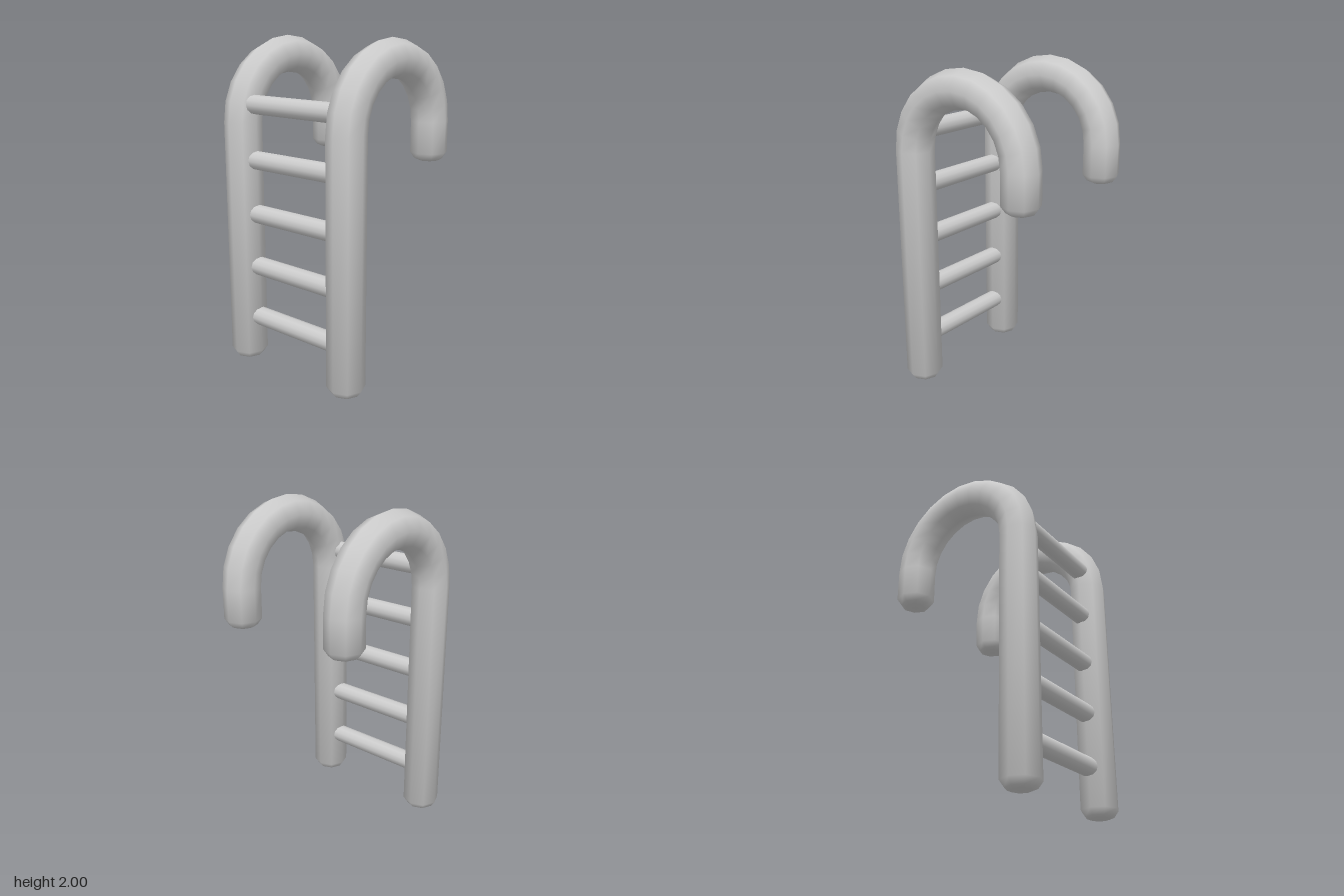
import * as THREE from 'three';
import { toCreasedNormals } from 'three/addons/utils/BufferGeometryUtils.js';

const SIDES = 8, RADIUS = 0.113, BEND = 0.388, BEND_Y = 1.5, RAIL_X = 0.404;
const BACK_END_Y = 1.26;

// Rounded end: [distance from the tip, ring radius]
const END = [[0, 0], [0, 0.058], [0.012, 0.086], [0.05, RADIUS]];

// Hooked rail: octagonal rings swept up, over the bend and down behind
function railGeometry() {
  const rings = [];
  for (const [d, r] of END) rings.push({ y: d, a: 0, r });
  for (let i = 0; i <= 12; i++) {
    const a = (i / 12) * Math.PI;
    rings.push({ y: BEND_Y + BEND * Math.sin(a), a, r: RADIUS });
  }
  for (const [d, r] of [...END].reverse()) rings.push({ y: BACK_END_Y + d, a: Math.PI, r });

  const positions = [], index = [];
  rings.forEach(({ y, a, r }, i) => {
    for (let j = 0; j < SIDES; j++) {
      const t = (j / SIDES) * Math.PI * 2;
      const out = r * Math.sin(t);
      positions.push(r * Math.cos(t), y + out * Math.sin(a), (BEND + out) * Math.cos(a));
      if (i === rings.length - 1) continue;
      const k = (j + 1) % SIDES;
      const p = i * SIDES + j, q = i * SIDES + k;
      if (r > 0) index.push(p, p + SIDES, q);
      if (rings[i + 1].r > 0) index.push(q, p + SIDES, q + SIDES);
    }
  });
  const geometry = new THREE.BufferGeometry();
  geometry.setAttribute('position', new THREE.Float32BufferAttribute(positions, 3));
  geometry.setIndex(index);
  return toCreasedNormals(geometry, 0.95);
}

export function createModel() {
  const group = new THREE.Group();
  group.name = 'poolLadder';
  const material = new THREE.MeshStandardMaterial({ color: 0xcccccc });

  // Pair of hooked rails
  const railGeo = railGeometry();
  for (const side of [-1, 1]) {
    const rail = new THREE.Mesh(railGeo, material);
    rail.name = side < 0 ? 'rightRail' : 'leftRail';
    rail.position.x = side * RAIL_X;
    group.add(rail);
  }

  // Rungs between the straight front legs
  const rungGeo = new THREE.CylinderGeometry(0.057, 0.057, 0.72, 12);
  rungGeo.rotateZ(Math.PI / 2);
  for (let i = 0; i < 5; i++) {
    const rung = new THREE.Mesh(rungGeo, material);
    rung.name = `rung${i + 1}`;
    rung.position.set(0, 0.286 + i * 0.331, 0.383);
    group.add(rung);
  }
  return group;
}
